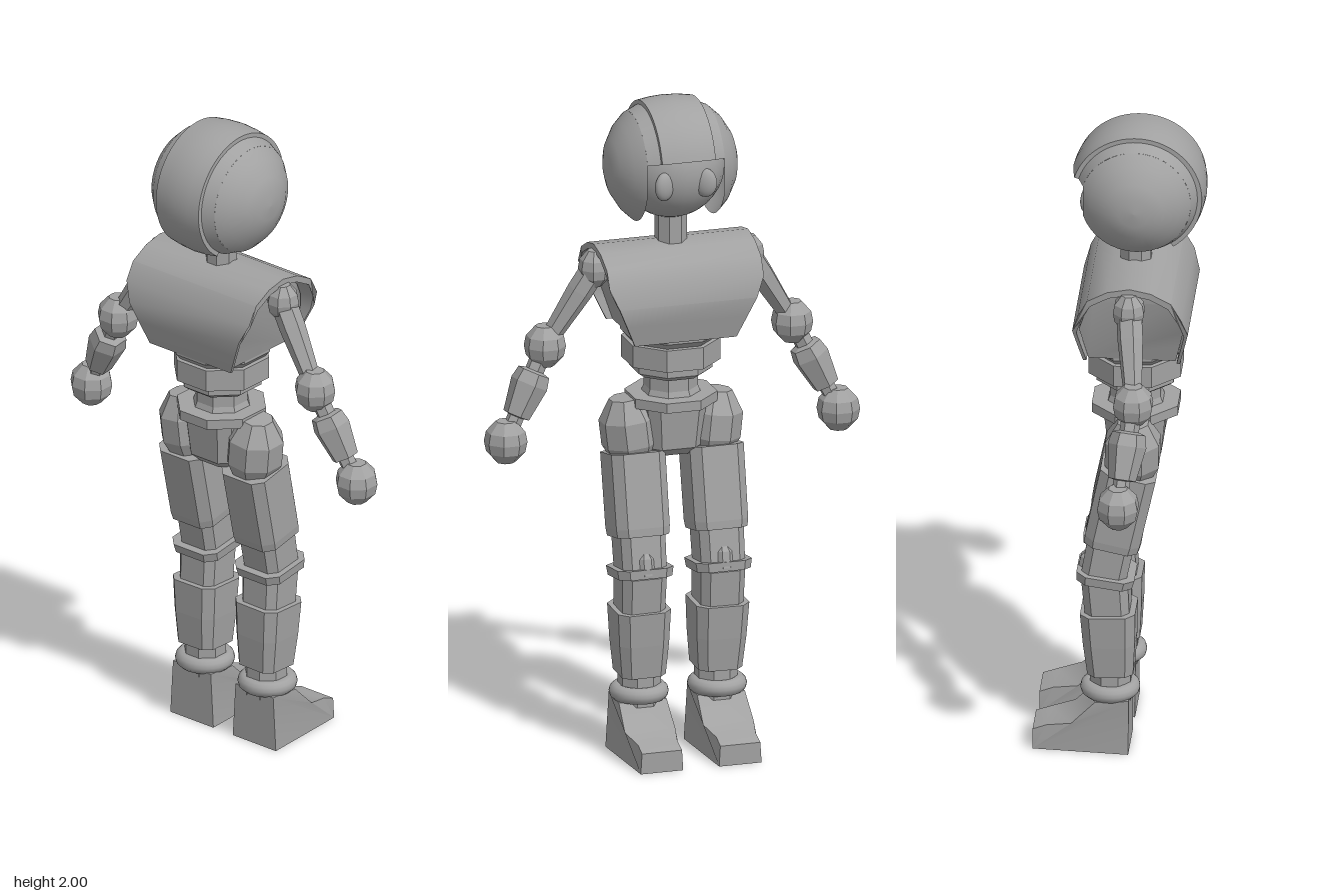
import * as THREE from 'three';
import { toCreasedNormals } from 'three/addons/utils/BufferGeometryUtils.js';

const grey = new THREE.MeshStandardMaterial({ color: 0xa2a2a2, side: THREE.DoubleSide });
grey.name = 'light grey';
const rad = THREE.MathUtils.degToRad;

function add(parent, name, geometry) {
  const m = new THREE.Mesh(geometry, grey);
  m.name = name;
  parent.add(m);
  return m;
}

// Faceted turned solid from a to b; profile holds [distance 0..1, half-width] pairs.
// boxy pulls the eight sides towards a square with chamfered corners.
function limb(parent, name, a, b, profile, boxy = false, sides = 8) {
  const A = new THREE.Vector3(...a), B = new THREE.Vector3(...b);
  const len = A.distanceTo(B), k = 1 / Math.cos(Math.PI / sides);
  const pts = [[profile[0][0], 0], ...profile, [profile[profile.length - 1][0], 0]]
    .map(([t, r]) => new THREE.Vector2(r * k, t * len));
  let g = new THREE.LatheGeometry(pts, sides, Math.PI / sides);
  if (boxy) {
    const p = g.attributes.position;
    for (let i = 0; i < p.count; i++) {
      const x = p.getX(i), z = p.getZ(i), r = Math.hypot(x, z);
      if (Math.abs(x) < r * 0.5) p.setX(i, x * 1.6);
      if (Math.abs(z) < r * 0.5) p.setZ(i, z * 1.6);
    }
  }
  g = g.toNonIndexed();
  g.computeVertexNormals();
  const m = add(parent, name, g);
  m.position.copy(A);
  m.quaternion.setFromUnitVectors(new THREE.Vector3(0, 1, 0), B.sub(A).normalize());
  return m;
}

// Faceted ball joint
function ball(parent, name, [x, y, z], r, h = r) {
  return limb(parent, name, [x, y - h, z], [x, y + h, z],
    [[0, r * 0.45], [0.25, r * 0.9], [0.5, r], [0.75, r * 0.9], [1, r * 0.45]]);
}

// Outline given as [z, y] points, extruded along x; width(y, z) sets the half-width
function slab(points, width, hole) {
  const shape = new THREE.Shape(points.map(([z, y]) => new THREE.Vector2(-z, y)));
  if (hole) shape.holes.push(new THREE.Path(hole.map(([z, y]) => new THREE.Vector2(-z, y))));
  const g = new THREE.ExtrudeGeometry(shape, { depth: 2, bevelEnabled: false });
  g.translate(0, 0, -1).rotateY(Math.PI / 2);
  const p = g.attributes.position;
  for (let i = 0; i < p.count; i++) p.setX(i, p.getX(i) * width(p.getY(i), p.getZ(i)));
  return toCreasedNormals(g, 0.6);
}

// Surface turned about the x axis; profile holds [x, radius] pairs
function turnX(profile, start = 0, length = Math.PI * 2) {
  const g = new THREE.LatheGeometry(profile.map(([x, r]) => new THREE.Vector2(r, x)), 40, start, length);
  return g.rotateZ(-Math.PI / 2);
}

function buildHead(root) {
  const head = new THREE.Group();
  head.name = 'head';
  head.position.set(0, 1.797, 0.055);
  root.add(head);
  add(head, 'face', new THREE.SphereGeometry(0.163, 28, 20));

  // Raised crest from brow to nape
  const from = rad(-163), sweep = rad(219);
  add(head, 'helmetCrest', toCreasedNormals(turnX([
    [-0.083, 0.178], [-0.083, 0.194], [-0.045, 0.2], [0, 0.203], [0.045, 0.2], [0.083, 0.194], [0.083, 0.178],
    [0, 0.184], [-0.083, 0.178]], from, sweep), 0.6));
  for (const s of [-1, 1]) {
    // Band beside the crest, open over the face
    add(head, 'helmetBand', turnX([[s * 0.08, 0.182], [s * 0.12, 0.164]], from, sweep + rad(12)));
    // Side cover, cut straight at the front
    const g = turnX([[0.12, 0.164], [0.152, 0.134], [0.182, 0.087], [0.196, 0.045], [0.199, 0]].map(([x, r]) => [s * x, r]));
    const p = g.attributes.position;
    for (let i = 0; i < p.count; i++) p.setZ(i, Math.max(p.getZ(i), -0.156));
    add(head, 'helmetSide', g);
    const eye = add(head, 'eye', new THREE.SphereGeometry(1, 16, 12));
    eye.scale.set(0.034, 0.044, 0.02);
    eye.position.set(s * 0.064, -0.025, -0.146);
    eye.rotation.y = s * 0.4;
  }
  limb(root, 'neck', [0, 1.53, 0.047], [0, 1.66, 0.047], [[0, 0.045], [1, 0.045]]);
}

function buildTorso(root) {
  // Arched vest worn over the ribcage
  const outer = [[0.19, 1.285], [0.205, 1.35], [0.218, 1.41], [0.2, 1.47], [0.17, 1.523], [0.11, 1.555], [0.047, 1.568],
    [-0.02, 1.555], [-0.08, 1.523], [-0.108, 1.47], [-0.126, 1.41], [-0.113, 1.35], [-0.098, 1.285]];
  const shrink = (k) => outer.map(([z, y]) => [0.047 + (z - 0.047) * k, 1.285 + (y - 1.285) * k]);
  const taper = (y) => Math.min(1, Math.max(0, (y - 1.285) / 0.185));
  add(root, 'vest', slab([...outer, ...shrink(0.93).reverse()], (y) => 0.158 + 0.082 * taper(y)));
  add(root, 'ribcage', slab(shrink(0.9), (y) => 0.14 + 0.055 * taper(y)));

  // Stacked waist rings
  const z = 0.047;
  limb(root, 'waistRing', [0, 1.15, z], [0, 1.3, z],
    [[0, 0.095], [0.1, 0.115], [0.26, 0.115], [0.27, 0.137], [0.72, 0.137], [0.73, 0.125], [0.85, 0.14], [1, 0.14]]);
  limb(root, 'waist', [0, 1.08, z], [0, 1.17, z], [[0, 0.085], [0.3, 0.075], [1, 0.075]]);
  limb(root, 'belt', [0, 1.06, z], [0, 1.09, z], [[0, 0.128], [1, 0.128]]);
  limb(root, 'pelvis', [0, 0.905, z], [0, 1.065, z], [[0, 0.055], [0.15, 0.078], [1, 0.092]], true);
}

function buildArm(root, s) {
  const arm = new THREE.Group();
  arm.name = s > 0 ? 'leftArm' : 'rightArm';
  root.add(arm);
  const shoulder = [s * 0.238, 1.495, 0.045], elbow = [s * 0.385, 1.26, 0.07], hand = [s * 0.518, 0.985, 0.036];
  ball(arm, 'shoulder', shoulder, 0.046, 0.055);
  limb(arm, 'upperArm', shoulder, elbow, [[0, 0.034], [0.3, 0.034], [0.85, 0.025], [1, 0.025]], false, 6);
  ball(arm, 'elbow', elbow, 0.058, 0.062);
  limb(arm, 'forearm', elbow, hand,
    [[0, 0.025], [0.26, 0.025], [0.28, 0.043], [0.4, 0.05], [0.73, 0.036], [0.74, 0.022], [1, 0.022]], false, 6);
  ball(arm, 'hand', hand, 0.06, 0.063);
}

function buildLeg(root, s) {
  const leg = new THREE.Group();
  leg.name = s > 0 ? 'leftLeg' : 'rightLeg';
  root.add(leg);
  const x = s * 0.122;
  limb(leg, 'hip', [s * 0.122, 0.9, 0.045], [s * 0.142, 1.08, 0.05],
    [[0, 0.062], [0.22, 0.08], [0.65, 0.08], [1, 0.045]]);
  limb(leg, 'thigh', [x, 0.67, -0.015], [x, 0.915, 0.037], [[0, 0.08], [0.1, 0.083], [1, 0.084]], true);
  limb(leg, 'lowerThigh', [x, 0.56, -0.038], [x, 0.7, -0.012], [[0, 0.068], [1, 0.07]], true);
  limb(leg, 'kneeRing', [x, 0.55, -0.034], [x, 0.578, -0.03], [[0, 0.083], [1, 0.087]], true);
  limb(leg, 'kneecap', [x, 0.565, -0.09], [x, 0.635, -0.075], [[0, 0.028], [0.7, 0.028], [1, 0.015]]);
  limb(leg, 'shinTop', [x, 0.43, -0.025], [x, 0.56, -0.034], [[0, 0.066], [1, 0.069]], true);
  limb(leg, 'calf', [x - s * 0.003, 0.245, -0.017], [x, 0.45, -0.024], [[0, 0.068], [0.5, 0.077], [1, 0.082]], true);
  limb(leg, 'ankle', [x - s * 0.003, 0.15, -0.018], [x - s * 0.003, 0.25, -0.018], [[0, 0.06], [1, 0.06]]);
  const ring = add(leg, 'ankleRing', new THREE.TorusGeometry(0.064, 0.025, 12, 32));
  ring.rotation.x = Math.PI / 2;
  ring.position.set(x, 0.187, -0.02);

  // Boot, narrowing at the toe and the cuff
  const boot = add(leg, 'boot', slab(
    [[0.04, 0], [0.04, 0.172], [-0.06, 0.165], [-0.13, 0.095], [-0.205, 0.078], [-0.246, 0.063], [-0.246, 0]],
    (y, z) => (z < -0.2 ? 0.066 : 0.084) - y * 0.06));
  boot.position.x = x;
}

export function createModel() {
  const root = new THREE.Group();
  root.name = 'roboticFigure';
  buildHead(root);
  buildTorso(root);
  for (const s of [-1, 1]) {
    buildArm(root, s);
    buildLeg(root, s);
  }
  return root;
}
